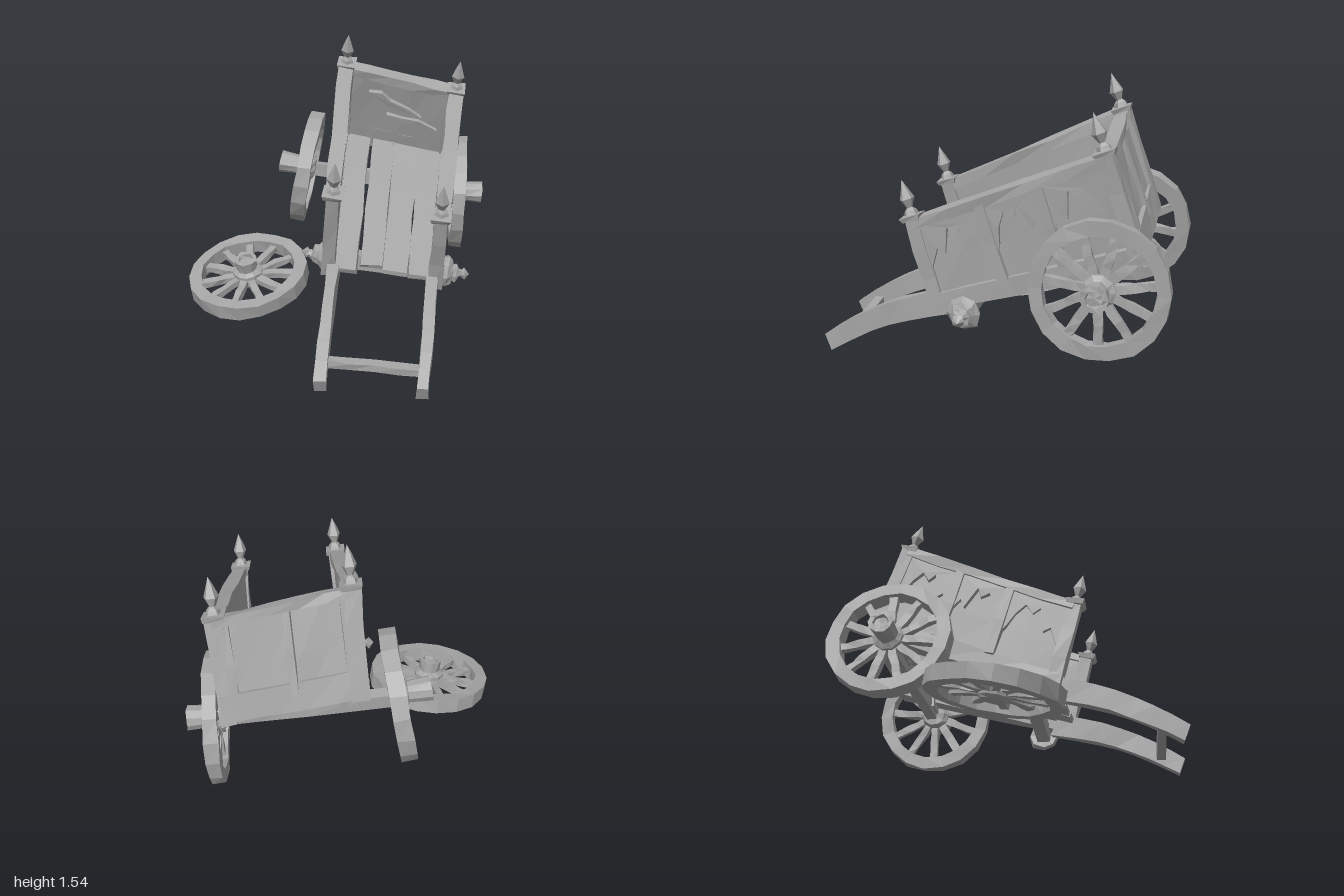
import * as THREE from 'three';

const wood = new THREE.MeshStandardMaterial({ color: 0xa6a6a6 });
wood.name = 'weatheredWood';
const V = (x, y, z) => new THREE.Vector3(x, y, z);

// Repeatable offset from a position, for worn and uneven timber
const hash = (p, k) => {
  const s = Math.sin(Math.round(p.x * 500) * 12.9898 + Math.round(p.y * 500) * 78.233 + Math.round(p.z * 500) * 37.719 + k * 4.1) * 43758.5453;
  return (s - Math.floor(s)) * 2 - 1;
};

// Moves every vertex by a rule, roughens it and gives it flat faces
function warp(geometry, map = p => p, rough = 0.006) {
  const g = geometry.index ? geometry.toNonIndexed() : geometry;
  const pos = g.attributes.position;
  for (let i = 0; i < pos.count; i++) {
    const p = map(V().fromBufferAttribute(pos, i));
    const d = V(hash(p, 1), hash(p, 2), hash(p, 3)).multiplyScalar(rough);
    p.add(d);
    pos.setXYZ(i, p.x, p.y, p.z);
  }
  g.computeVertexNormals();
  return g;
}

function add(group, name, geometry) {
  const mesh = new THREE.Mesh(geometry, wood);
  mesh.name = name;
  group.add(mesh);
  return mesh;
}

// Corner posts of the tilted, tapering cart body: bottom and top ends
const corners = {
  backLeft: [V(-0.04, 0.83, -0.785), V(0.0, 1.355, -0.61)],
  backRight: [V(0.64, 0.70, -0.785), V(0.68, 1.205, -0.62)],
  frontLeft: [V(-0.02, 0.42, 0.27), V(0.02, 0.915, 0.40)],
  frontRight: [V(0.59, 0.37, 0.28), V(0.60, 0.815, 0.41)],
};

// Body space: x 0..1 left to right, y 0..1 bottom to top, z 0..1 back to front
function bodyPoint(p) {
  const at = c => c[0].clone().lerp(c[1], p.y);
  const back = at(corners.backLeft).lerp(at(corners.backRight), p.x);
  const front = at(corners.frontLeft).lerp(at(corners.frontRight), p.x);
  return back.lerp(front, p.z);
}

function bodyBox(x0, x1, y0, y1, z0, z1) {
  const segs = d => Math.max(1, Math.round(d * 5));
  const g = new THREE.BoxGeometry(x1 - x0, y1 - y0, z1 - z0, segs(x1 - x0), segs((y1 - y0) / 2), segs(z1 - z0));
  g.translate((x0 + x1) / 2, (y0 + y1) / 2, (z0 + z1) / 2);
  return warp(g, bodyPoint);
}

// Flat plate cut to an outline
function plate(points, depth) {
  const shape = new THREE.Shape(points.map(p => new THREE.Vector2(p[0], p[1])));
  return new THREE.ExtrudeGeometry(shape, { depth, bevelEnabled: false });
}

// Straight timber between two points
function beam(a, b, w, h) {
  const g = new THREE.BoxGeometry(w, h, a.distanceTo(b), 1, 1, 4);
  const m = new THREE.Matrix4().lookAt(b, a, V(0, 1, 0));
  m.setPosition(a.clone().add(b).multiplyScalar(0.5));
  return warp(g.applyMatrix4(m), undefined, 0.005);
}

function lathe(profile, sides, rough = 0.004) {
  return warp(new THREE.LatheGeometry(profile.map(p => new THREE.Vector2(p[0], p[1])), sides), undefined, rough);
}

function aim(object, position, axis) {
  object.position.copy(position);
  object.quaternion.setFromUnitVectors(V(0, 1, 0), axis.clone().normalize());
  return object;
}

// Spoked wheel, its hub pointing along the axis
function addWheel(root, name, center, axis, hubLength, half) {
  const wheel = new THREE.Group();
  wheel.name = name;
  add(wheel, 'rim', lathe([[0.287, -half], [0.362, -half], [0.362, half], [0.287, half], [0.287, -half]], 18, 0.005));
  add(wheel, 'hub', lathe([[0, -0.05], [0.07, -0.05], [0.088, -0.03], [0.088, 0.035], [0.062, 0.055],
    [0.07, hubLength], [0.045, hubLength], [0.04, hubLength - 0.02], [0, hubLength - 0.02]], 10));
  const count = 11;
  for (let i = 0; i < count; i++) {
    const a = (i / count) * Math.PI * 2;
    const dir = V(Math.cos(a), 0, Math.sin(a));
    add(wheel, 'spoke', beam(dir.clone().multiplyScalar(0.07), dir.clone().multiplyScalar(0.3), 0.044, 0.036));
  }
  root.add(aim(wheel, center, axis));
}

function addBody(root) {
  const body = new THREE.Group();
  body.name = 'cartBody';
  root.add(body);

  // Floor planks with uneven front ends and one open joint
  [[0, 0.265, 1.05], [0.295, 0.5, 1.0], [0.503, 0.74, 1.02], [0.744, 1, 1.03]].forEach(([x0, x1, end]) =>
    add(body, 'floorPlank', bodyBox(x0, x1, 0.01, 0.07, 0, end)));

  // Side walls: panel, sill, rail, battens and broken arched trim
  const bays = [0.03, 0.34, 0.64, 0.97];
  for (const side of [-1, 1]) {
    const span = (a, b) => (side > 0 ? [1 + a, 1 + b] : [-b, -a]);
    add(body, 'sidePanel', bodyBox(...span(-0.035, 0.02), 0, 0.97, 0, 0.99));
    add(body, 'sill', bodyBox(...span(-0.05, 0.06), -0.11, 0.1, -0.01, 1.03));
    add(body, 'sideRail', bodyBox(...span(-0.06, 0.075), 0.9, 1.01, 0, 1));
    bays.slice(1, -1).forEach(z => add(body, 'sideBatten', bodyBox(...span(0.01, 0.075), 0.08, 0.92, z - 0.025, z + 0.025)));
    for (let i = 0; i < bays.length - 1; i++) {
      const d = bays[i + 1] - bays[i];
      const outline = [[0, 0.92], [0, 0.3], [0.12, 0.45], [0.2, 0.64], [0.34, 0.78], [0.48, 0.7], [0.58, 0.8], [0.72, 0.52], [0.82, 0.6], [1, 0.38], [1, 0.92]]
        .map(([t, y]) => [bays[i] + d * (i % 2 ? 1 - t : t), y]);
      const g = plate(outline, 0.045).rotateY(-Math.PI / 2).translate(side > 0 ? 1.055 : -0.01, 0, 0);
      add(body, 'brokenArch', warp(g, bodyPoint, 0.003));
    }
  }

  // Back wall with outer framing and splinters inside
  add(body, 'backPanel', bodyBox(0, 1, 0, 0.97, -0.015, 0.02));
  add(body, 'backRail', bodyBox(-0.02, 1.02, 0.91, 1.0, -0.04, 0.035));
  add(body, 'backSill', bodyBox(-0.04, 1.04, -0.06, 0.22, -0.035, 0.02));
  [0.06, 0.48, 0.93].forEach(x => add(body, 'backBatten', bodyBox(x - 0.03, x + 0.03, 0.1, 0.93, -0.035, -0.01)));
  const splinters = [
    [[0.22, 0.76], [0.4, 0.63], [0.72, 0.56], [0.6, 0.64], [0.42, 0.7], [0.34, 0.78]],
    [[0.4, 0.5], [0.6, 0.42], [0.88, 0.42], [0.7, 0.5], [0.55, 0.49]],
  ];
  splinters.forEach(s => add(body, 'splinter', warp(plate(s, 0.03).translate(0, 0, 0.015), bodyPoint, 0.002)));

  // Corner posts with caps and pointed finials
  for (const [place, [bottom, top]] of Object.entries(corners)) {
    const up = top.clone().sub(bottom).normalize();
    const x = place.endsWith('Left') ? 0 : 1;
    const z = place.startsWith('back') ? 0 : 1;
    add(body, place + 'Post', bodyBox(x - 0.065, x + 0.065, -0.08, 1.0, z - 0.035, z + 0.035));
    const cap = warp(new THREE.BoxGeometry(0.105, 0.035, 0.105), undefined, 0.008);
    aim(add(body, place + 'Cap', cap), top.clone().addScaledVector(up, 0.005), up);
    const spike = lathe([[0, 0], [0.042, 0], [0.034, 0.022], [0.018, 0.04], [0.04, 0.085], [0.018, 0.145], [0, 0.19]], 5, 0.002);
    aim(add(body, place + 'Finial', spike), top.clone().addScaledVector(up, 0.02), up);
  }
}

function addShafts(root) {
  const paths = {
    leftShaft: [V(0.01, 0.41, 0.2), V(0.01, 0.325, 0.52), V(0.01, 0.22, 0.76), V(0.01, 0.09, 0.975)],
    rightShaft: [V(0.575, 0.37, 0.2), V(0.56, 0.285, 0.52), V(0.55, 0.18, 0.75), V(0.535, 0.06, 0.95)],
  };
  for (const [name, points] of Object.entries(paths)) {
    const curve = new THREE.CatmullRomCurve3(points);
    const g = warp(new THREE.BoxGeometry(0.062, 0.125, 1, 1, 1, 7), p => {
      const t = p.z + 0.5;
      const y = p.y * (1 - 0.25 * t);
      return curve.getPoint(t).add(V(p.x, y, y * 0.4));
    }, 0.004);
    add(root, name, g);
  }
  add(root, 'shaftCrossbar', beam(V(0.01, 0.155, 0.85), V(0.55, 0.12, 0.83), 0.05, 0.045));
}

function addAxles(root) {
  // Rear axle and the blocks between it and the sills
  add(root, 'rearAxle', beam(V(-0.3, 0.645, -0.64), V(0.76, 0.53, -0.615), 0.065, 0.085));
  add(root, 'leftAxleBlock', beam(V(-0.06, 0.69, -0.635), V(0.06, 0.68, -0.635), 0.09, 0.13));
  add(root, 'rightAxleBlock', beam(V(0.55, 0.605, -0.62), V(0.66, 0.595, -0.62), 0.09, 0.13));

  // Front axle with stubs where the wheels have come off
  const left = V(-0.07, 0.4, 0.12), right = V(0.66, 0.33, 0.12);
  add(root, 'frontAxle', beam(left, right, 0.08, 0.09));
  const stub = [[0, -0.03], [0.085, -0.03], [0.095, 0], [0.07, 0.02], [0.055, 0.03], [0.055, 0.05], [0.028, 0.065], [0.022, 0.085], [0.036, 0.1], [0, 0.125]];
  aim(add(root, 'leftAxleStub', lathe(stub, 8, 0.006)), left, left.clone().sub(right));
  aim(add(root, 'rightAxleStub', lathe(stub, 8, 0.006)), right, right.clone().sub(left));
}

export function createModel() {
  const cart = new THREE.Group();
  cart.name = 'brokenCart';
  addBody(cart);
  addShafts(cart);
  addAxles(cart);
  addWheel(cart, 'rightWheel', V(0.725, 0.53, -0.605), V(1, -0.02, 0), 0.155, 0.036);
  addWheel(cart, 'leftWheel', V(-0.255, 0.655, -0.63), V(-0.985, 0.17, 0), 0.18, 0.044);
  addWheel(cart, 'fallenWheel', V(-0.54, 0.19, 0.03), V(-0.09, 1, 0.19), 0.125, 0.044);
  return cart;
}
